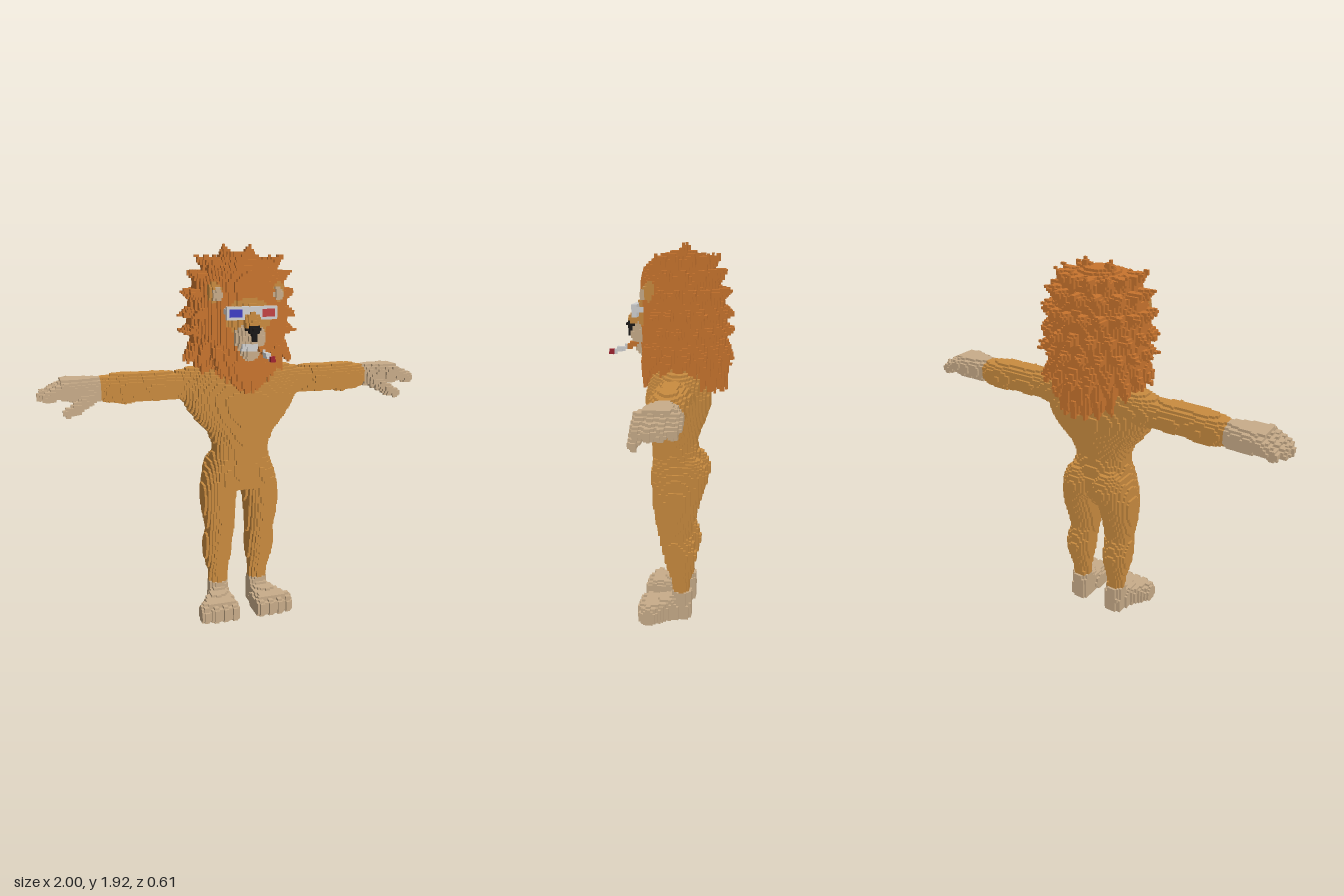
import * as THREE from 'three';

// The figure is sculpted into a grid of small cubes; only outer faces are emitted.
const S = 0.0125, NX = 160, NY = 156, NZ = 56, Z0 = -0.35;
const flat = (name, color) => Object.assign(new THREE.MeshStandardMaterial({ color }), { name });

export function createModel() {
  const mats = {
    fur: flat('golden fur', 0xc98b3f), mane: flat('orange mane', 0xc8742e),
    paw: flat('tan paw', 0xc8ac89), black: flat('black', 0x1a1818),
    white: flat('pale grey', 0xd2d2d2), blue: flat('blue lens', 0x3f3fc4),
    red: flat('red lens', 0xc24343), ember: flat('ember red', 0xa02430),
  };
  const grid = new Uint8Array(NX * NY * NZ), parts = [null];
  const at = (i, j, k) => (i < 0 || j < 0 || k < 0 || i >= NX || j >= NY || k >= NZ) ? 0 : grid[(i * NY + j) * NZ + k];

  // Fill every cell inside a test, within bounds [x0,x1,y0,y1,z0,z1]
  function paint(name, mat, [x0, x1, y0, y1, z0, z1], inside, onlyFilled = false) {
    let id = parts.findIndex(p => p && p.name === name);
    if (id < 0) id = parts.push({ name, mat }) - 1;
    const lo = (v, o) => Math.max(0, Math.floor((v - o) / S));
    const hi = (v, o, n) => Math.min(n - 1, Math.ceil((v - o) / S));
    for (let i = lo(x0, -1); i <= hi(x1, -1, NX); i++)
      for (let j = lo(y0, 0); j <= hi(y1, 0, NY); j++)
        for (let k = lo(z0, Z0); k <= hi(z1, Z0, NZ); k++) {
          const c = (i * NY + j) * NZ + k;
          if (onlyFilled && !grid[c]) continue;
          if (inside(-1 + (i + 0.5) * S, (j + 0.5) * S, Z0 + (k + 0.5) * S)) grid[c] = id;
        }
  }
  // Mirrored pair: +x is the model's left
  function pair(name, mat, [x0, x1, ...rest], inside) {
    paint('left' + name, mat, [x0, x1, ...rest], inside);
    paint('right' + name, mat, [-x1, -x0, ...rest], (x, y, z) => inside(-x, y, z));
  }
  const box = b => [b, (x, y, z) => x > b[0] && x < b[1] && y > b[2] && y < b[3] && z > b[4] && z < b[5]];
  const ball = (cx, cy, cz, rx, ry, rz) => [[cx - rx, cx + rx, cy - ry, cy + ry, cz - rz, cz + rz],
    (x, y, z) => ((x - cx) / rx) ** 2 + ((y - cy) / ry) ** 2 + ((z - cz) / rz) ** 2 < 1];
  // Rounded stick from p to q, radius r tapering to r2
  function stick(p, q, r, r2 = r) {
    const d = q.map((v, n) => v - p[n]), len = d[0] ** 2 + d[1] ** 2 + d[2] ** 2;
    const b = [0, 1, 2].flatMap(n => [Math.min(p[n] - r, q[n] - r2), Math.max(p[n] + r, q[n] + r2)]);
    return [b, (x, y, z) => {
      const u = [x - p[0], y - p[1], z - p[2]];
      const t = Math.min(1, Math.max(0, (u[0] * d[0] + u[1] * d[1] + u[2] * d[2]) / len));
      return Math.hypot(u[0] - t * d[0], u[1] - t * d[1], u[2] - t * d[2]) < r + (r2 - r) * t;
    }];
  }
  // Stations [t, a0, a1, b0, b1], with t along the given axis
  function section(rows, t) {
    if (t < rows[0][0] || t > rows[rows.length - 1][0]) return null;
    let n = 1;
    while (rows[n][0] < t) n++;
    const f = (t - rows[n - 1][0]) / (rows[n][0] - rows[n - 1][0]);
    return rows[n].map((v, m) => rows[n - 1][m] + (v - rows[n - 1][m]) * f);
  }
  function loft(axis, rows, pow = 2.2) {
    const span = m => [Math.min(...rows.map(r => r[m])), Math.max(...rows.map(r => r[m + 1]))];
    const T = [rows[0][0], rows[rows.length - 1][0]], A = span(1), B = span(3);
    const b = axis === 'x' ? [...T, ...A, ...B] : axis === 'y' ? [...A, ...T, ...B] : [...A, ...B, ...T];
    return [b, (x, y, z) => {
      const [t, a, c] = axis === 'x' ? [x, y, z] : axis === 'y' ? [y, x, z] : [z, x, y];
      const s = section(rows, t);
      if (!s) return false;
      return Math.abs((2 * a - s[1] - s[2]) / (s[2] - s[1])) ** pow + Math.abs((2 * c - s[3] - s[4]) / (s[4] - s[3])) ** pow < 1;
    }];
  }
  const sym = rows => rows.map(([y, w, z0, z1]) => [y, -w, w, z0, z1]);

  // Torso, hips and shoulders
  paint('torso', 'fur', ...loft('y', sym([
    [0.7, 0.165, -0.13, 0.085], [0.78, 0.175, -0.15, 0.1], [0.86, 0.147, -0.14, 0.1], [0.93, 0.14, -0.12, 0.105],
    [1.0, 0.17, -0.14, 0.115], [1.06, 0.225, -0.165, 0.122], [1.12, 0.27, -0.185, 0.127], [1.18, 0.3, -0.185, 0.127],
    [1.24, 0.3, -0.17, 0.115], [1.3, 0.26, -0.15, 0.09], [1.35, 0.17, -0.12, 0.05]])));
  pair('Buttock', 'fur', ...ball(0.085, 0.77, -0.085, 0.09, 0.11, 0.1));

  // Legs with thigh, knee and calf
  pair('Leg', 'fur', ...loft('y', [
    [0.13, 0.065, 0.155, -0.105, -0.02], [0.2, 0.065, 0.16, -0.1, -0.015], [0.3, 0.05, 0.185, -0.127, 0.02],
    [0.36, 0.045, 0.192, -0.137, 0.035], [0.42, 0.045, 0.185, -0.12, 0.05], [0.46, 0.04, 0.178, -0.105, 0.06],
    [0.52, 0.038, 0.19, -0.115, 0.07], [0.62, 0.03, 0.203, -0.145, 0.085], [0.7, 0.022, 0.198, -0.165, 0.092],
    [0.78, 0.01, 0.18, -0.175, 0.097], [0.86, 0.02, 0.145, -0.15, 0.09]]));

  // Feet and toes
  pair('Foot', 'paw', ...loft('y', [[0, 0.06, 0.16, -0.112, 0], [0.08, 0.06, 0.162, -0.115, 0],
    [0.15, 0.063, 0.158, -0.11, -0.015]], 2.6));
  pair('Foot', 'paw', ...loft('z', [[-0.1, 0.06, 0.16, -0.05, 0.1], [-0.02, 0.058, 0.175, -0.04, 0.125],
    [0.04, 0.05, 0.22, -0.03, 0.108], [0.12, 0.05, 0.25, -0.03, 0.1]], 3.2));
  for (let n = 0; n < 4; n++)
    pair('Foot', 'paw', ...ball(0.075 + n * 0.05, 0.04, 0.115 - (n === 3 ? 0.015 : 0), 0.029, 0.058, 0.05));

  // Arms
  pair('Arm', 'fur', ...loft('x', [
    [0.15, 1.16, 1.345, -0.15, 0.06], [0.25, 1.16, 1.325, -0.145, 0.04], [0.33, 1.175, 1.305, -0.13, 0.025],
    [0.43, 1.172, 1.315, -0.135, 0.035], [0.5, 1.175, 1.31, -0.13, 0.03], [0.58, 1.165, 1.315, -0.145, 0.025],
    [0.66, 1.175, 1.305, -0.14, 0.012], [0.7, 1.185, 1.295, -0.125, 0.002]]));
  // Hands, fingers and thumbs
  pair('Hand', 'paw', ...loft('x', [
    [0.7, 1.185, 1.295, -0.125, 0.002], [0.76, 1.185, 1.3, -0.14, 0.02], [0.83, 1.19, 1.302, -0.152, 0.035],
    [0.89, 1.2, 1.3, -0.15, 0.03]], 2.6));
  for (const [z, x] of [[-0.13, 0.94], [-0.085, 0.97], [-0.04, 0.975], [0.008, 0.95]])
    pair('Hand', 'paw', ...stick([0.86, 1.26, z], [x, 1.222, z], 0.034, 0.025));
  pair('Hand', 'paw', ...stick([0.75, 1.215, 0.0], [0.82, 1.17, 0.035], 0.035, 0.028));
  pair('Hand', 'paw', ...stick([0.82, 1.165, 0.035], [0.865, 1.15, 0.042], 0.026, 0.022));

  // Mane body with beard point
  const mane = [[1.2, 0.04, -0.2, 0.1], [1.23, 0.08, -0.23, 0.135], [1.28, 0.13, -0.25, 0.145], [1.35, 0.2, -0.255, 0.15],
    [1.45, 0.235, -0.26, 0.155], [1.55, 0.253, -0.26, 0.15], [1.65, 0.248, -0.25, 0.15], [1.75, 0.22, -0.225, 0.155],
    [1.81, 0.18, -0.195, 0.14], [1.86, 0.12, -0.15, 0.085], [1.89, 0.05, -0.1, -0.01]];
  const maneRows = sym(mane);
  paint('mane', 'mane', ...loft('y', maneRows, 2));
  // Staggered rings of tufts, hanging below and swept up above
  [1.3, 1.37, 1.44, 1.52, 1.6, 1.68, 1.76, 1.82].forEach((y, row) => {
    const [, , w, z0, z1] = section(maneRows, y), count = 18 - (row > 5 ? 4 : 0);
    for (let n = 0; n < count; n++) {
      const a = (n + (row % 2) / 2) / count * Math.PI * 2;
      if (Math.cos(a) > 0.55) continue;
      const zc = (z0 + z1) / 2, d = (z1 - z0) / 2, sx = Math.sin(a), cz = Math.cos(a);
      const lift = row < 3 ? -0.09 : row < 5 ? -0.015 : 0.02 + (row - 5) * 0.014, out = row < 2 ? 0.02 : 0.05;
      paint('mane', 'mane', ...stick([0.88 * w * sx, y, zc + 0.88 * d * cz],
        [(w + out) * sx, y + lift, zc + (d + out) * cz], 0.045, 0.004));
    }
  });
  // Crown tufts
  for (const [x, y, z] of [[0.065, 1.925, -0.06], [0.16, 1.87, -0.05], [0.1, 1.88, -0.14], [0.1, 1.87, 0.06]])
    for (const s of [-1, 1]) paint('mane', 'mane', ...stick([s * x * 0.85, y - 0.085, z * 0.85], [s * x, y, z], 0.05, 0.004));
  // Side locks framing the face
  for (let n = 0; n < 5; n++) for (const s of [-1, 1])
    paint('mane', 'mane', ...stick([s * (0.15 - n * 0.028), 1.42 - n * 0.02, 0.095 + n * 0.008],
      [s * (0.13 - n * 0.028), 1.29 - n * 0.018, 0.11 + n * 0.008], 0.03, 0.008));

  // Face, ears and muzzle
  paint('face', 'fur', ...ball(0, 1.58, 0.06, 0.135, 0.155, 0.11));
  pair('Ear', 'fur', ...ball(0.158, 1.7, 0.085, 0.036, 0.05, 0.04));
  pair('InnerEar', 'paw', ...ball(0.152, 1.69, 0.12, 0.022, 0.034, 0.02));
  paint('noseBridge', 'fur', ...stick([0, 1.62, 0.14], [0, 1.55, 0.185], 0.04));
  paint('muzzle', 'paw', ...ball(0, 1.485, 0.12, 0.08, 0.085, 0.09));
  paint('muzzle', 'paw', ...ball(0, 1.415, 0.13, 0.05, 0.04, 0.06));
  paint('nose', 'black', ...ball(0, 1.53, 0.2, 0.034, 0.026, 0.032));
  paint('nose', 'black', ...box([-0.013, 0.013, 1.475, 1.525, 0.17, 0.22]));
  paint('teeth', 'white', ...box([-0.055, 0.02, 1.43, 1.46, 0.13, 0.22]), true);

  // Two-colour glasses
  paint('glassesFrame', 'white', ...box([-0.126, 0.126, 1.575, 1.638, 0.163, 0.188]));
  paint('glassesFrame', 'fur', ...box([-0.037, 0.037, 1.575, 1.6, 0.163, 0.188]));
  for (const s of [-1, 1])
    paint('glassesFrame', 'white', ...box([s * 0.119 - 0.007, s * 0.119 + 0.007, 1.6, 1.626, 0.08, 0.17]));
  paint('rightLens', 'blue', ...box([-0.112, -0.05, 1.587, 1.626, 0.175, 0.188]));
  paint('leftLens', 'red', ...box([0.05, 0.112, 1.587, 1.626, 0.175, 0.188]));
  paint('lensBridge', 'fur', ...box([-0.037, 0.037, 1.575, 1.6, 0.163, 0.188]));

  // Cigarette with filter and glowing tip
  paint('cigarette', 'white', ...stick([0.035, 1.44, 0.18], [0.058, 1.4, 0.295], 0.0125));
  paint('filter', 'mane', ...stick([0.033, 1.443, 0.17], [0.042, 1.43, 0.215], 0.014));
  paint('ember', 'ember', ...stick([0.058, 1.4, 0.296], [0.06, 1.396, 0.303], 0.013));

  // Emit the visible cube faces, one mesh per part
  const verts = parts.map(() => []), norms = parts.map(() => []);
  for (let i = 0; i < NX; i++) for (let j = 0; j < NY; j++) for (let k = 0; k < NZ; k++) {
    const id = at(i, j, k);
    if (!id) continue;
    for (let ax = 0; ax < 3; ax++) for (const s of [-1, 1]) {
      const dir = [0, 0, 0];
      dir[ax] = s;
      if (at(i + dir[0], j + dir[1], k + dir[2])) continue;
      const ring = s > 0 ? [[0, 0], [1, 0], [1, 1], [0, 0], [1, 1], [0, 1]] : [[0, 0], [1, 1], [1, 0], [0, 0], [0, 1], [1, 1]];
      for (const [u, v] of ring) {
        const o = [i, j, k];
        o[ax] += s > 0 ? 1 : 0;
        o[(ax + 1) % 3] += u;
        o[(ax + 2) % 3] += v;
        verts[id].push(o[0] * S - 1, o[1] * S, o[2] * S + Z0);
        norms[id].push(...dir);
      }
    }
  }
  const model = new THREE.Group();
  model.name = 'lionFigure';
  parts.forEach((part, id) => {
    if (!part || !verts[id].length) return;
    const geo = new THREE.BufferGeometry();
    geo.setAttribute('position', new THREE.Float32BufferAttribute(verts[id], 3));
    geo.setAttribute('normal', new THREE.Float32BufferAttribute(norms[id], 3));
    const mesh = new THREE.Mesh(geo, mats[part.mat]);
    mesh.name = part.name;
    model.add(mesh);
  });
  return model;
}
